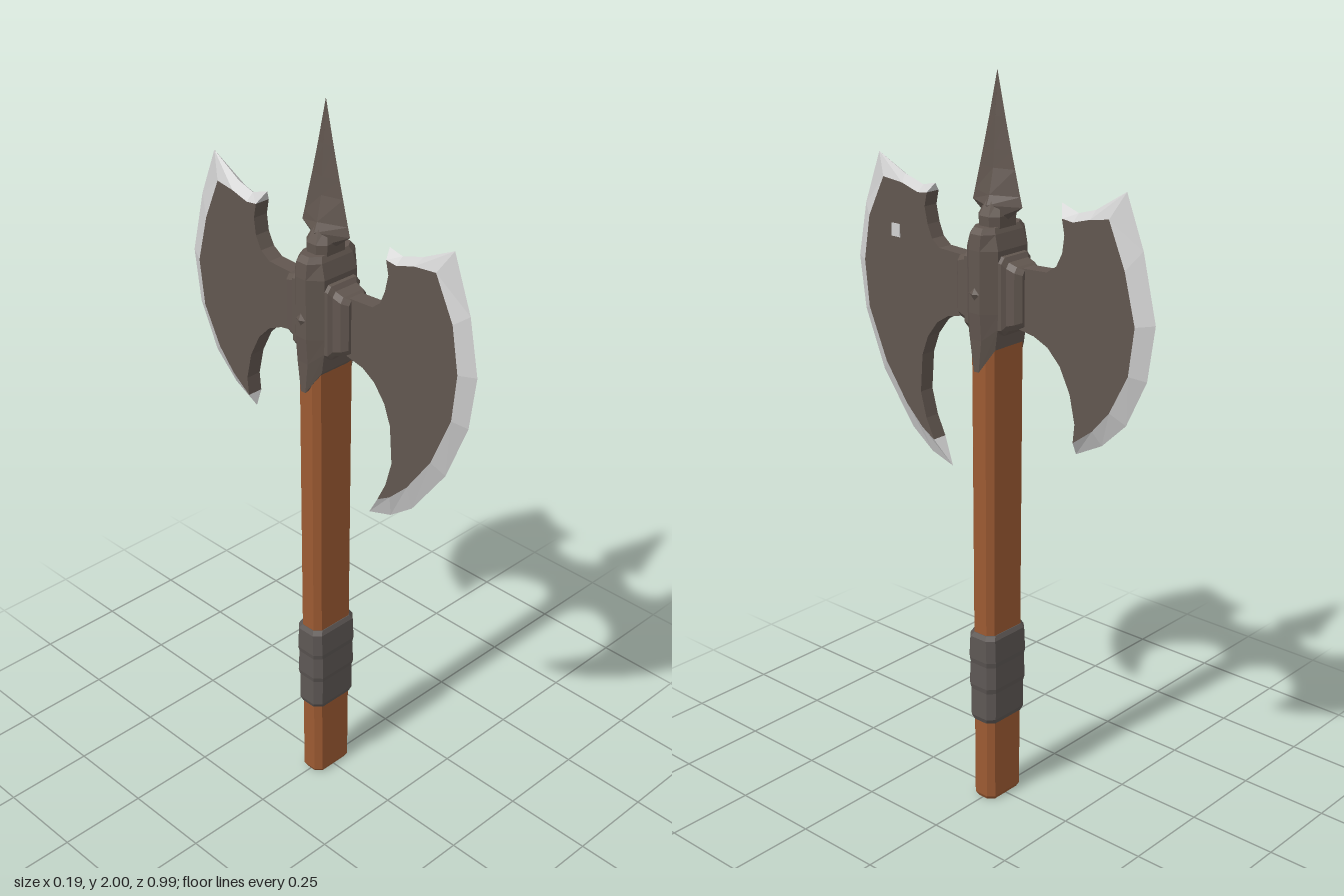
import * as THREE from 'three';

const mat = (name, color) => {
  const m = new THREE.MeshStandardMaterial({ color });
  m.name = name;
  return m;
};

// Flat-faced geometry from a list of triangle corners
function facets(corners) {
  const g = new THREE.BufferGeometry().setFromPoints(corners);
  g.computeVertexNormals();
  return g;
}

// Chamfered section: hx/hz are half sizes, fx/fz half lengths of the flats; drop lowers the x faces
function section(y, hx, hz, fx, fz, drop = 0) {
  return [[fx, hz], [hx, fz], [hx, -fz], [fx, -hz], [-fx, -hz], [-hx, -fz], [-hx, fz], [-fx, hz]]
    .map(([x, z]) => new THREE.Vector3(x, y - (Math.abs(x) === hx ? drop : 0), z));
}

// Capped skin over sections stacked along +y
function loft(rings) {
  const out = [], n = rings[0].length, last = rings[rings.length - 1];
  for (let r = 0; r < rings.length - 1; r++) {
    for (let i = 0; i < n; i++) {
      const j = (i + 1) % n, a = rings[r], b = rings[r + 1];
      out.push(a[i], a[j], b[j], a[i], b[j], b[i]);
    }
  }
  for (let i = 1; i < n - 1; i++) {
    out.push(rings[0][0], rings[0][i + 1], rings[0][i], last[0], last[i], last[i + 1]);
  }
  return facets(out);
}

export function createModel() {
  const group = new THREE.Group();
  const wood = mat('wood', 0x9c5a32);
  const metal = mat('dark metal', 0x61564f);
  const wrap = mat('grip wrap', 0x5d5754);
  const steel = mat('sharpened steel', 0xd0d0d0);

  const add = (name, geometry, material, parent = group) => {
    const mesh = new THREE.Mesh(geometry, material);
    mesh.name = name;
    parent.add(mesh);
    return mesh;
  };
  const bar = (levels, c) => loft(levels.map(([y, hx, hz]) => section(y, hx, hz, hx - c, hz - c)));

  // Wooden shaft and its wrapped grip
  add('shaft', bar([[0, 0.06, 0.031], [0.012, 0.066, 0.037], [0.5, 0.068, 0.037], [1.36, 0.07, 0.038]], 0.016), wood);
  add('grip', bar([
    [0.245, 0.069, 0.039], [0.26, 0.075, 0.045], [0.34, 0.074, 0.045], [0.355, 0.077, 0.048],
    [0.42, 0.075, 0.046], [0.435, 0.078, 0.048], [0.5, 0.077, 0.045], [0.512, 0.07, 0.039],
  ], 0.018), wrap);

  // Socket with pointed tongues running down the two broad faces
  add('socket', loft([
    section(1.315, 0.08, 0.042, 0.055, 0.008, 0.06),
    section(1.37, 0.081, 0.05, 0.055, 0.018, 0.03),
    section(1.41, 0.086, 0.052, 0.055, 0.018),
    section(1.57, 0.086, 0.052, 0.055, 0.018),
    section(1.61, 0.082, 0.04, 0.052, 0.018),
    section(1.625, 0.07, 0.032, 0.045, 0.014),
  ]), metal);

  // Stepped collars where the blades meet the socket, and a stud on each broad face
  for (const s of [1, -1]) {
    const collar = add(s > 0 ? 'frontCollar' : 'backCollar', loft([
      section(0.03, 0.056, 0.105, 0.045, 0.09),
      section(0.062, 0.055, 0.1, 0.043, 0.085),
      section(0.07, 0.046, 0.088, 0.036, 0.074),
      section(0.095, 0.044, 0.08, 0.034, 0.066),
      section(0.11, 0.03, 0.072, 0.022, 0.06),
    ]), metal);
    collar.position.y = 1.455;
    collar.rotation.x = s * Math.PI / 2;
    const stud = add(s > 0 ? 'leftStud' : 'rightStud', new THREE.OctahedronGeometry(0.022), metal);
    stud.scale.x = 0.5;
    stud.position.set(s * 0.083, 1.46, 0);
  }

  // Top spike on a small knob
  add('spikeKnob', loft([
    section(1.61, 0.048, 0.034, 0.03, 0.016),
    section(1.65, 0.05, 0.036, 0.03, 0.016),
    section(1.69, 0.03, 0.02, 0.016, 0.008),
  ]), metal);
  add('spike', loft([
    [1.635, 0.03, 0.03], [1.675, 0.04, 0.082], [1.7, 0.03, 0.075], [1.765, 0.016, 0.058],
    [1.81, 0.013, 0.046], [1.89, 0.008, 0.026], [2, 0.0005, 0.0005],
  ].map(([y, x, z]) => [[0, z], [x, 0], [0, -z], [-x, 0]].map((p) => new THREE.Vector3(p[0], y, p[1])))), metal);

  // Blade: flat plate with a bevel from the inner line to the sharp outer line, all in (z, y)
  const T = 0.022;
  function blade(name, neckTop, outer, inner, neckBottom) {
    const part = new THREE.Group();
    part.name = name;
    group.add(part);
    const outline = [...neckTop, ...inner, ...neckBottom].map(([z, y]) => new THREE.Vector2(z, y));
    const plate = new THREE.ExtrudeGeometry(new THREE.Shape(outline), { depth: 2 * T, bevelEnabled: false });
    plate.translate(0, 0, -T).rotateY(-Math.PI / 2);
    add(name + 'Plate', plate, metal, part);

    const corners = [];
    const at = (x, [z, y]) => new THREE.Vector3(x, y, z);
    const tri = (a, b, c, side) => {
      const nx = (b.y - a.y) * (c.z - a.z) - (b.z - a.z) * (c.y - a.y);
      corners.push(...(nx * side > 0 ? [a, b, c] : [a, c, b]));
    };
    for (const s of [1, -1]) {
      for (let i = 0; i < outer.length - 1; i++) {
        const a = at(s * T, inner[i]), b = at(s * T, inner[i + 1]);
        const c = at(0, outer[i + 1]), d = at(0, outer[i]);
        tri(a, b, c, s);
        tri(a, c, d, s);
      }
    }
    // Close both ends of the bevel
    for (const i of [0, outer.length - 1]) {
      const a = at(T, inner[i]), b = at(-T, inner[i]), c = at(0, outer[i]);
      corners.push(a, b, c, a, c, b);
    }
    add(name + 'Edge', facets(corners), steel, part);
  }

  blade('frontBlade',
    [[0.08, 1.53], [0.18, 1.535], [0.205, 1.555], [0.22, 1.59], [0.23, 1.635]],
    [[0.212, 1.695], [0.254, 1.685], [0.32, 1.705], [0.413, 1.75], [0.468, 1.605], [0.497, 1.458],
      [0.478, 1.315], [0.413, 1.156], [0.307, 1.013], [0.235, 0.96], [0.16, 0.936]],
    [[0.222, 1.672], [0.254, 1.668], [0.31, 1.685], [0.378, 1.692], [0.434, 1.58], [0.455, 1.458],
      [0.442, 1.33], [0.382, 1.19], [0.307, 1.085], [0.25, 1.03], [0.208, 1.005]],
    [[0.235, 1.06], [0.254, 1.13], [0.246, 1.235], [0.225, 1.29], [0.19, 1.335], [0.15, 1.36], [0.08, 1.375]]);

  blade('backBlade',
    [[-0.08, 1.53], [-0.18, 1.535], [-0.21, 1.555], [-0.228, 1.59], [-0.234, 1.635]],
    [[-0.207, 1.708], [-0.26, 1.69], [-0.312, 1.706], [-0.402, 1.762], [-0.455, 1.63], [-0.497, 1.458],
      [-0.477, 1.315], [-0.418, 1.19], [-0.345, 1.12], [-0.264, 1.078]],
    [[-0.226, 1.675], [-0.26, 1.671], [-0.312, 1.686], [-0.368, 1.695], [-0.418, 1.58], [-0.452, 1.45],
      [-0.436, 1.325], [-0.382, 1.22], [-0.33, 1.16], [-0.27, 1.115]],
    [[-0.275, 1.165], [-0.258, 1.24], [-0.225, 1.305], [-0.185, 1.345], [-0.14, 1.365], [-0.08, 1.375]]);

  // Small bright nick on the front blade
  add('bladeNick', new THREE.BoxGeometry(0.004, 0.035, 0.03), steel).position.set(T, 1.557, 0.335);

  return group;
}
